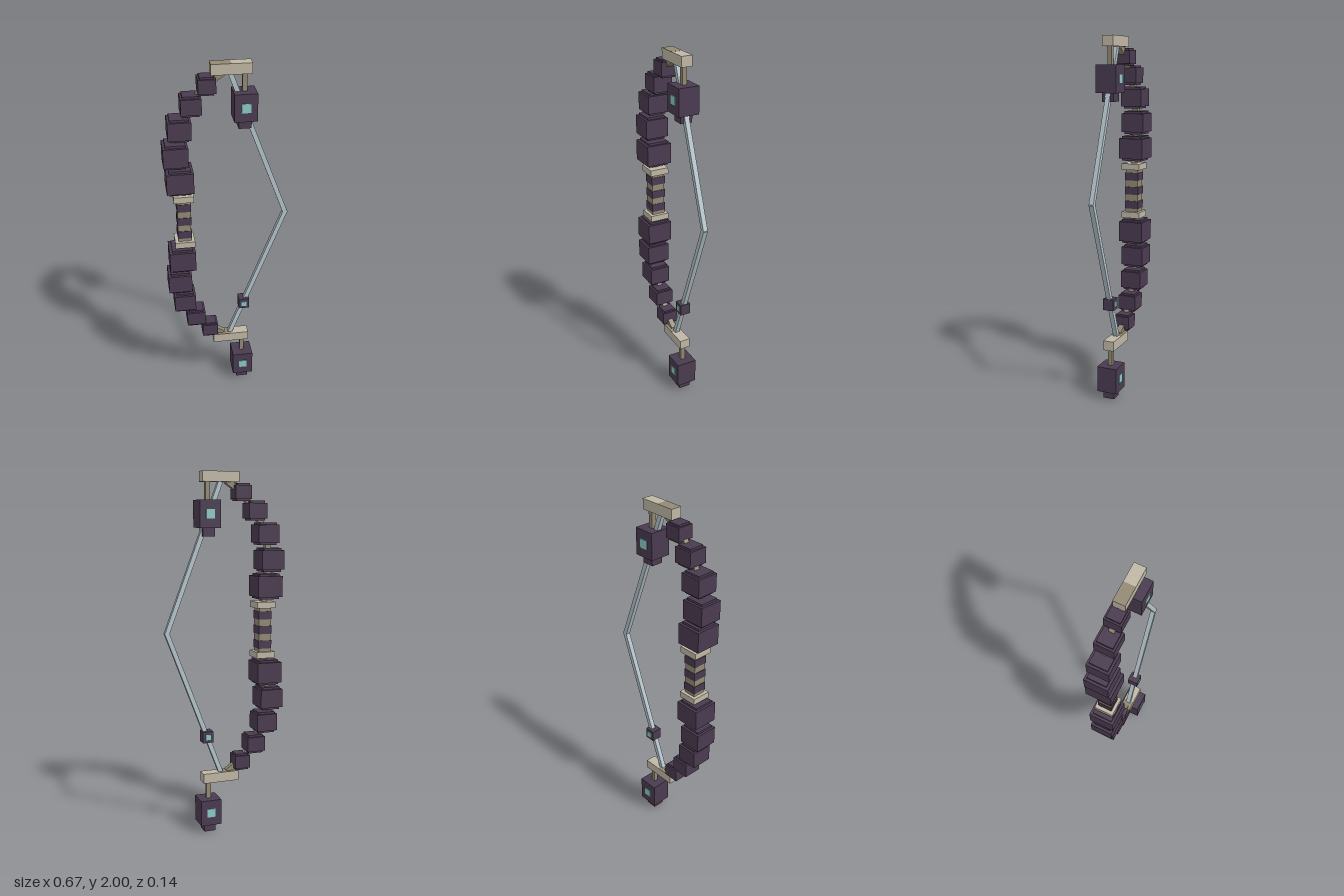
import * as THREE from 'three';

const mat = (name, color) => {
  const m = new THREE.MeshStandardMaterial({ color });
  m.name = name;
  return m;
};

export function createModel() {
  const root = new THREE.Group();
  root.name = 'bow';
  const purple = mat('dark purple', 0x4a3b50);
  const bone = mat('pale bone', 0xc0b8a6);
  const tan = mat('dull tan', 0x938a74);
  const cord = mat('pale steel', 0xb4c4ca);
  const teal = mat('teal', 0x8ccac6);

  const box = (name, material, w, h, d, x, y, z = 0, parent = root) => {
    const mesh = new THREE.Mesh(new THREE.BoxGeometry(w, h, d), material);
    mesh.name = name;
    mesh.position.set(x, y, z);
    parent.add(mesh);
    return mesh;
  };
  // Square bar between two points in the xy plane
  const bar = (name, material, [x1, y1], [x2, y2], w, d) => {
    const len = Math.hypot(x2 - x1, y2 - y1);
    const mesh = box(name, material, w, len, d, (x1 + x2) / 2, (y1 + y2) / 2);
    mesh.rotation.z = -Math.atan2(x2 - x1, y2 - y1);
  };
  // Thin square gems on the front and back of a block
  const gems = (size, x, y, depth) => {
    for (const s of [-1, 1]) box('gem', teal, size, size, 0.006, x, y, s * (depth / 2 + 0.001));
  };

  // Limb blocks: x, y, width, body height, full height with stepped caps
  const upper = [
    [-0.252, 1.385, 0.143, 0.115, 0.14],
    [-0.27, 1.53, 0.13, 0.105, 0.13],
    [-0.246, 1.672, 0.12, 0.097, 0.12],
    [-0.184, 1.795, 0.105, 0.083, 0.106],
    [-0.103, 1.893, 0.09, 0.073, 0.093],
  ];
  const lower = [0.903, 0.752, 0.613, 0.49, 0.391].map((y, i) => {
    const [x, , w, h, full] = upper[i];
    return [x, y, w, h, full];
  });
  for (const [limb, tip, grip] of [[upper, 1.95, 1.28], [lower, 0.335, 1.0]]) {
    for (const [x, y, w, h, full] of limb) {
      box('limbBlock', purple, w, h, w, x, y);
      box('limbBlockCaps', purple, w * 0.8, full, w * 0.8, x, y);
    }
    // Spine joining the blocks
    const path = [[-0.235, grip], ...limb.map(([x, y]) => [x, y]), [-0.02, tip]];
    for (let i = 1; i < path.length; i++) bar('limbSpine', tan, path[i - 1], path[i], 0.03, 0.03);
  }

  // Grip with wrapped bands and end guards
  box('grip', tan, 0.07, 0.27, 0.074, -0.235, 1.143);
  for (const y of [1.225, 1.143, 1.061]) box('gripWrap', purple, 0.076, 0.045, 0.08, -0.235, y);
  for (const y of [1.283, 1.003]) box('gripGuard', bone, 0.108, 0.035, 0.108, -0.235, y);

  // End plates, each with a hanging weight
  for (const top of [2, 0.34]) {
    box('endPlate', bone, 0.207, 0.055, 0.062, 0.021, top - 0.0275);
    box('endPlateInlay', tan, 0.103, 0.002, 0.062, -0.031, top - 0.0005);
    box('hanger', tan, 0.025, 0.11, 0.025, 0.09, top - 0.1);
    box('weight', purple, 0.118, 0.146, 0.116, 0.09, top - 0.222);
    box('weightFoot', purple, 0.066, 0.05, 0.066, 0.09, top - 0.315);
    gems(0.048, 0.09, top - 0.222, 0.116);
  }

  // Drawn string and its charm
  bar('stringUpper', cord, [0.012, 1.96], [0.324, 1.137], 0.025, 0.026);
  bar('stringLower', cord, [0.012, 0.325], [0.324, 1.15], 0.025, 0.026);
  box('charm', purple, 0.06, 0.064, 0.06, 0.098, 0.553);
  gems(0.03, 0.098, 0.553, 0.06);

  return root;
}
